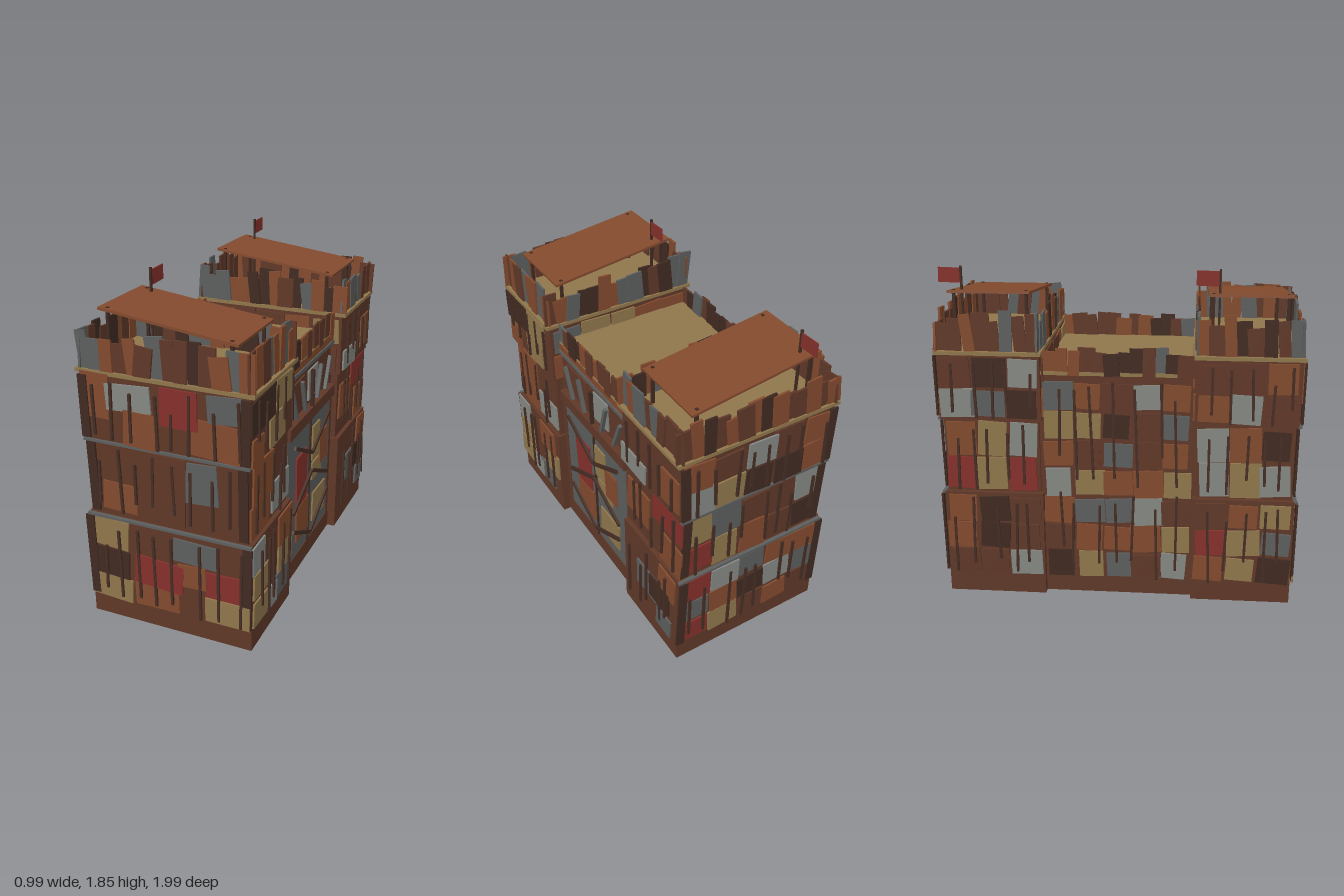
import * as THREE from 'three';

const mats = {};
for (const [k, c] of Object.entries({
  brown: 0x5f3828, rust: 0x824a2d, dark: 0x402a21, tan: 0x8f764b,
  grey: 0x5c5e5d, light: 0x848782, red: 0x85302b, batten: 0x452d24,
})) mats[k] = new THREE.MeshStandardMaterial({ color: c });

let seed = 7;
const rnd = (a = 0, b = 1) => {
  seed = (seed * 16807) % 2147483647;
  return a + (b - a) * (seed / 2147483647);
};
const pick = (list) => list[Math.floor(rnd() * list.length)];

function box(parent, name, mat, w, h, d, x, y, z, rz = 0) {
  const m = new THREE.Mesh(new THREE.BoxGeometry(w, h, d), mats[mat]);
  m.position.set(x, y, z);
  m.rotation.z = rz;
  m.name = name;
  parent.add(m);
  return m;
}

// Group whose local x runs along a wall, y is up and z points outward
function wallFrame(parent, name, x, z, ry) {
  const g = new THREE.Group();
  g.name = name;
  g.position.set(x, 0, z);
  g.rotation.y = ry;
  parent.add(g);
  return g;
}

// Tower tiers: bottom, top, half width in x, half depth in z
const TIERS = [[0, 0.62, 0.467, 0.277], [0.62, 1.045, 0.442, 0.262], [1.045, 1.41, 0.46, 0.277]];
const tierAt = (y) => TIERS[y < 0.62 ? 0 : y < 1.045 ? 1 : 2];
const SCRAP = ['rust', 'rust', 'rust', 'brown', 'brown', 'dark', 'tan', 'grey', 'light', 'red'];

// Scrap sheets: [along, height, width, height, colour]
function patches(frame, list, out) {
  list.forEach(([u, v, w, h, c], i) =>
    box(frame, 'scrapSheet', c, w, h, 0.01, u, v, out(v) + 0.006 + (i % 4) * 0.003, rnd(-0.07, 0.07)));
}

// Loosely gridded sheets for one band of wall
function scatter(frame, u0, u1, v0, v1, out) {
  const rows = Math.max(2, Math.round((v1 - v0) / 0.18)), cols = Math.round((u1 - u0) / 0.17);
  const list = [];
  for (let r = 0; r < rows; r++) for (let c = 0; c < cols; c++) {
    const cw = (u1 - u0) / cols, rh = (v1 - v0) / rows;
    list.push([u0 + cw * (c + 0.5) + rnd(-0.01, 0.01), v0 + rh * (r + 0.5),
      cw * rnd(0.85, 1.05), rh * rnd(0.8, 1), pick(SCRAP)]);
  }
  patches(frame, list, out);
}

// Thin upright strips nailed over the sheets
function battens(frame, u0, u1, v0, v1, n, out) {
  for (let i = 0; i < n; i++) {
    const h = (v1 - v0) * rnd(0.55, 0.95);
    box(frame, 'batten', 'batten', 0.014, h, 0.012,
      u0 + ((u1 - u0) * (i + rnd(0.2, 0.8))) / n, rnd(v0 + h / 2, v1 - h / 2), out + 0.02, rnd(-0.04, 0.04));
  }
}

// Row of uneven leaning boards
function parapet(frame, u0, u1, y, lo, hi, out) {
  const n = Math.round((u1 - u0) / 0.068);
  for (let i = 0; i < n; i++) {
    const h = rnd(lo, hi);
    box(frame, 'parapetBoard', pick(['rust', 'rust', 'brown', 'dark', 'brown', 'grey']), rnd(0.06, 0.1), h, 0.012,
      u0 + ((u1 - u0) * (i + 0.5)) / n, y + h / 2, out + (i % 3) * 0.006, rnd(-0.13, 0.13));
  }
}

const FRONT = [
  [-0.33, 0.52, 0.2, 0.17, 'tan'], [-0.33, 0.34, 0.2, 0.17, 'dark'], [-0.34, 0.19, 0.25, 0.14, 'tan'],
  [-0.05, 0.34, 0.28, 0.17, 'red'], [-0.07, 0.2, 0.26, 0.16, 'rust'], [0.16, 0.51, 0.25, 0.13, 'grey'],
  [0.14, 0.37, 0.16, 0.13, 'rust'], [0.34, 0.2, 0.25, 0.14, 'tan'], [0.33, 0.34, 0.23, 0.16, 'red'],
  [-0.27, 0.74, 0.2, 0.16, 'rust'], [0.19, 0.91, 0.19, 0.22, 'grey'], [-0.02, 0.84, 0.26, 0.38, 'brown'],
  [-0.38, 1.3, 0.16, 0.24, 'rust'], [-0.19, 1.31, 0.25, 0.14, 'light'], [-0.13, 1.15, 0.18, 0.19, 'rust'],
  [0.09, 1.3, 0.2, 0.2, 'red'], [0.28, 1.16, 0.28, 0.19, 'rust'], [0.33, 1.33, 0.18, 0.14, 'grey'],
];
const GATE_SIDE = [
  [-0.89, 0.53, 0.16, 0.16, 'light'], [-0.86, 0.37, 0.2, 0.14, 'tan'], [-0.87, 0.21, 0.2, 0.14, 'tan'],
  [-0.54, 0.53, 0.2, 0.18, 'rust'], [-0.52, 0.35, 0.2, 0.18, 'tan'], [-0.59, 0.2, 0.2, 0.14, 'grey'],
  [-0.71, 0.19, 0.12, 0.13, 'light'], [-0.8, 0.92, 0.26, 0.23, 'rust'], [-0.82, 0.72, 0.24, 0.18, 'rust'],
  [-0.55, 0.74, 0.24, 0.17, 'light'], [-0.83, 1.31, 0.32, 0.17, 'dark'], [-0.58, 1.32, 0.22, 0.16, 'tan'],
  [-0.64, 1.14, 0.2, 0.16, 'tan'], [-0.9, 1.12, 0.14, 0.14, 'rust'],
  [0.66, 0.35, 0.2, 0.18, 'grey'], [0.87, 0.52, 0.16, 0.18, 'rust'], [0.8, 0.37, 0.2, 0.16, 'dark'],
  [0.85, 0.2, 0.14, 0.13, 'grey'], [0.83, 0.95, 0.28, 0.16, 'red'], [0.87, 0.73, 0.2, 0.2, 'rust'],
  [0.55, 0.85, 0.22, 0.22, 'rust'], [0.54, 1.13, 0.24, 0.12, 'light'], [0.88, 1.2, 0.16, 0.2, 'rust'],
];
const GATE = [
  [-0.14, 0.6, 0.17, 0.33, 'red'], [-0.12, 0.33, 0.2, 0.22, 'rust'], [0.08, 0.75, 0.12, 0.22, 'tan'],
  [0.21, 0.67, 0.13, 0.2, 'rust'], [0.12, 0.56, 0.16, 0.11, 'tan'], [0.17, 0.31, 0.22, 0.19, 'tan'],
];

function buildTower(root, side) {
  const zc = side * 0.69;
  const tower = wallFrame(root, side > 0 ? 'frontTower' : 'backTower', 0, zc, 0);
  TIERS.forEach(([y0, y1, hx, hz]) =>
    box(tower, 'tier', 'brown', hx * 2, y1 - y0, hz * 2, 0, (y0 + y1) / 2, 0));

  // Four clad walls: angle, half span index, outward index
  for (const [ry, a, o] of [[0, 2, 3], [Math.PI, 2, 3], [Math.PI / 2, 3, 2], [-Math.PI / 2, 3, 2]]) {
    const f = wallFrame(tower, 'towerWall', 0, 0, ry);
    const out = (v) => tierAt(v)[o];
    const outer = a === 2 && (ry === 0) === (side > 0);
    const gateSide = ry === Math.PI / 2;
    const hidden = a === 2 && !outer;
    TIERS.forEach((t, k) => {
      const lo = k ? t[0] + 0.01 : 0.12;
      if (!gateSide && !(outer && side > 0) && !(hidden && k < 2)) scatter(f, -t[a] + 0.01, t[a] - 0.01, lo, t[1] - 0.01, out);
      if (!hidden) battens(f, -t[a] + 0.02, t[a] - 0.02, lo, t[1] - 0.02, a === 2 ? 8 : 5, t[o]);
      // Upright boards overlapping the corners
      if (outer) for (const s of [-1, 1])
        box(f, 'cornerBoard', 'dark', 0.05, (t[1] - lo) * 0.95, 0.012, s * (t[a] - 0.02), (lo + t[1]) / 2, t[o] + 0.012, rnd(-0.04, 0.04));
    });
    if (outer && side > 0) patches(f, FRONT, out);
    if (gateSide) patches(f, GATE_SIDE.filter((p) => p[0] * side < 0).map(([u, ...r]) => [u + zc, ...r]), out);
    // Metal strips at the tier joints
    if (outer) [[0.614, 0.467], [1.048, 0.46]].forEach(([y, hw]) =>
      box(f, 'jointStrip', 'grey', hw * 2, 0.014, 0.02, 0, y, 0.28));
    const span = a === 2 ? 0.475 : 0.275;
    parapet(f, -span, span, 1.425, 0.15, 0.225, a === 2 ? 0.266 : 0.452);
  }
  box(tower, 'deck', 'tan', 0.965, 0.02, 0.575, 0, 1.42, 0);

  // Sloping roof on four posts
  box(tower, 'slopingRoof', 'rust', 0.75, 0.014, 0.44, 0, 1.68, 0, -0.125);
  for (const x of [-0.33, 0.33]) for (const z of [-0.195, 0.195]) {
    const top = 1.69 - x * 0.125;
    box(tower, 'roofPost', 'dark', 0.016, top - 1.43, 0.016, x, (top + 1.43) / 2, z);
  }
  // Flag
  const pz = -0.162;
  box(tower, 'flagPole', 'dark', 0.012, 0.42, 0.012, -0.285, 1.64, pz);
  box(tower, 'flag', 'red', 0.006, 0.08, 0.12, -0.282, 1.8, pz - 0.064).rotation.x = 0.03;
}

function buildGatehouse(root) {
  const house = wallFrame(root, 'gatehouse', 0, 0, 0);
  box(house, 'hallBody', 'brown', 0.825, 1.3, 0.86, -0.0125, 0.65, 0);
  box(house, 'hallDeck', 'tan', 0.85, 0.02, 0.83, -0.0125, 1.31, 0);

  // Plain rear wall
  const rear = wallFrame(house, 'rearWall', 0, 0, -Math.PI / 2);
  scatter(rear, -0.4, 0.4, 0.1, 1.27, () => 0.425);
  battens(rear, -0.4, 0.4, 0.1, 0.65, 7, 0.425);
  battens(rear, -0.4, 0.4, 0.65, 1.27, 7, 0.425);
  parapet(rear, -0.4, 0.4, 1.3, 0.11, 0.16, 0.425);

  // Gate wall
  const f = wallFrame(house, 'gateWall', 0, 0, Math.PI / 2);
  parapet(f, -0.4, 0.4, 1.3, 0.11, 0.16, 0.4);
  box(f, 'sill', 'brown', 0.83, 0.11, 0.03, 0, 0.055, 0.405);
  box(f, 'corniceStrip', 'grey', 0.82, 0.022, 0.025, 0, 1.26, 0.41);
  box(f, 'corniceBoard', 'rust', 0.82, 0.045, 0.02, 0, 1.29, 0.405);
  box(f, 'lintel', 'brown', 0.755, 0.07, 0.045, 0, 0.965, 0.42);
  for (const s of [-1, 1]) {
    box(f, 'gateLeaf', 'grey', 0.352, 0.8, 0.02, s * 0.178, 0.52, 0.41);
    box(f, 'gateJamb', 'brown', 0.035, 0.92, 0.02, s * 0.382, 0.46, 0.41);
    // Diagonal braces on each leaf: outer height, inner height
    for (const [yo, yi] of [[0.86, 0.71], [0.45, 0.59], [0.33, 0.18]])
      box(f, 'gateBrace', 'batten', 0.33, 0.022, 0.014, s * 0.15, (yo + yi) / 2, 0.441, s * Math.atan2(yo - yi, 0.29));
    // Leaning rods over the gate
    for (const [u0, u1] of [[0.24, 0.32], [0.1, 0.16]])
      box(f, 'leaningRod', 'grey', 0.02, 0.2, 0.02, s * (u0 + u1) / 2, 1.105, 0.425, -s * Math.atan2(u1 - u0, 0.19));
  }
  box(f, 'gateSeam', 'dark', 0.01, 0.81, 0.012, 0, 0.52, 0.425);
  box(f, 'middleRod', 'dark', 0.016, 0.22, 0.02, 0, 1.11, 0.43);
  patches(f, GATE, () => 0.42);
  patches(f, [[0.07, 1.12, 0.16, 0.18, 'light'], [-0.2, 1.12, 0.24, 0.18, 'brown']], () => 0.4);
}

export function createModel() {
  seed = 7;
  const root = new THREE.Group();
  root.name = 'scrapFort';
  buildTower(root, 1);
  buildTower(root, -1);
  buildGatehouse(root);
  return root;
}
